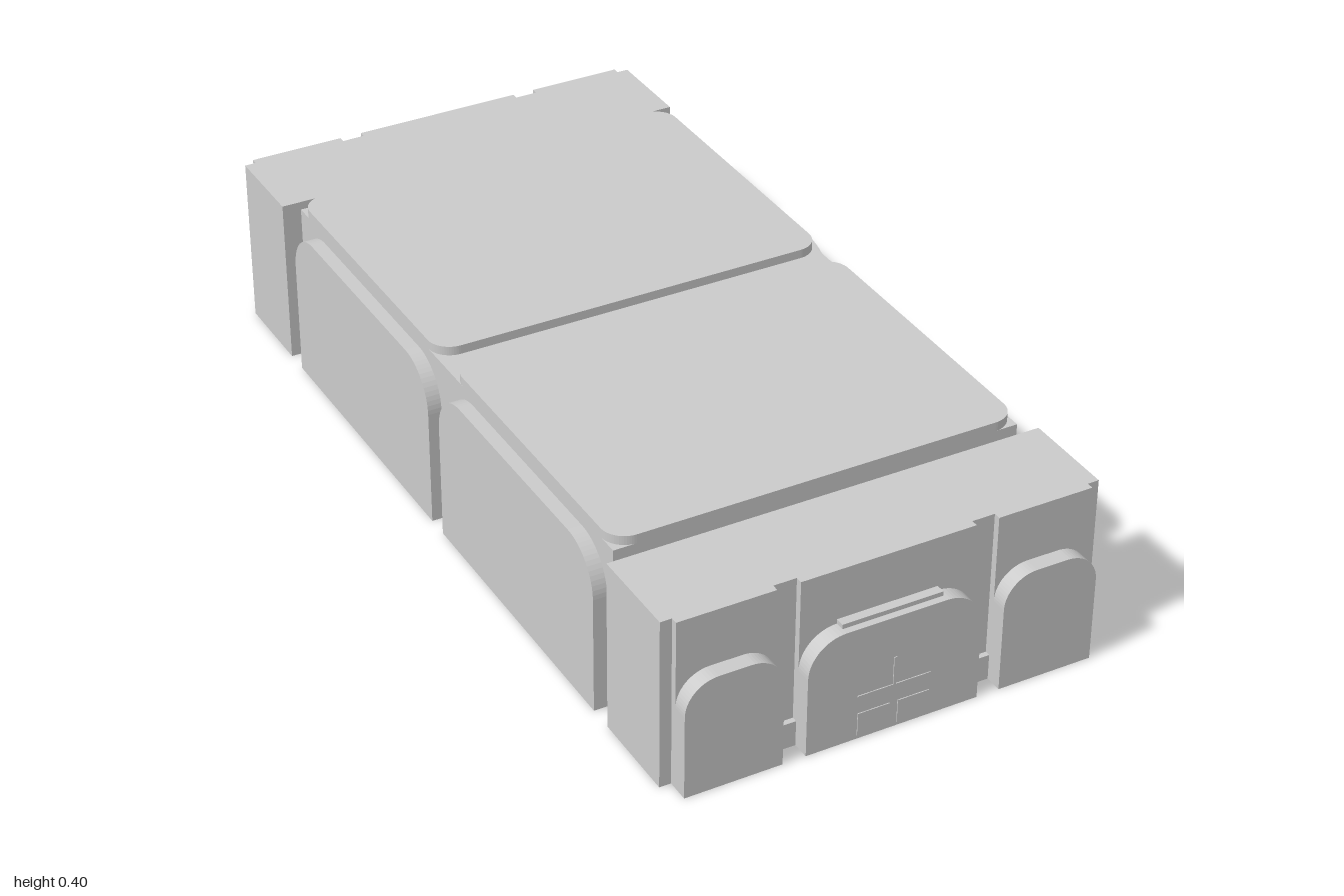
import * as THREE from 'three';

const material = new THREE.MeshStandardMaterial({ color: 0xcccccc, flatShading: true });

function add(parent, name, geometry) {
  const mesh = new THREE.Mesh(geometry, material);
  mesh.name = name;
  parent.add(mesh);
  return mesh;
}

// Box given by its limits on each axis
function box(parent, name, [x0, x1], [y0, y1], [z0, z1]) {
  const mesh = add(parent, name, new THREE.BoxGeometry(x1 - x0, y1 - y0, z1 - z0));
  mesh.position.set((x0 + x1) / 2, (y0 + y1) / 2, (z0 + z1) / 2);
  return mesh;
}

// Outline with rounded top corners; bottom corners take their own radius
function roundedShape(x0, x1, y0, y1, top, bottom = 0) {
  const s = new THREE.Shape();
  s.moveTo(x0 + bottom, y0);
  s.lineTo(x1 - bottom, y0);
  if (bottom) s.absarc(x1 - bottom, y0 + bottom, bottom, -Math.PI / 2, 0, false);
  s.lineTo(x1, y1 - top);
  s.absarc(x1 - top, y1 - top, top, 0, Math.PI / 2, false);
  s.lineTo(x0 + top, y1);
  s.absarc(x0 + top, y1 - top, top, Math.PI / 2, Math.PI, false);
  s.lineTo(x0, y0 + bottom);
  if (bottom) s.absarc(x0 + bottom, y0 + bottom, bottom, Math.PI, Math.PI * 1.5, false);
  return s;
}

function slab(shape, depth) {
  return new THREE.ExtrudeGeometry(shape, { depth, bevelEnabled: false, curveSegments: 8 });
}

// One end of the building, facing +z
function makeEnd(name) {
  const end = new THREE.Group();
  end.name = name;
  box(end, 'endBlock', [-0.475, 0.475], [0, 0.38], [0.745, 0.95]);
  const bays = [[-0.45, -0.24, 0.07], [-0.19, 0.19, 0.08], [0.24, 0.45, 0.07]];
  for (const [x0, x1, r] of bays) {
    box(end, 'upperPanel', [x0, x1], [0, 0.38], [0.945, 0.965]);
    const arch = add(end, 'archPanel', slab(roundedShape(x0, x1, 0, 0.258, r), 0.04));
    arch.position.z = 0.96;
  }
  for (const s of [-1, 1]) {
    const c = s * 0.215;
    box(end, 'plinth', [c - 0.025, c + 0.025], [0, 0.057], [0.945, 0.962]);
  }
  // Ledge over the middle arch
  box(end, 'ledge', [-0.11, 0.11], [0.256, 0.268], [0.96, 0.985]);
  return end;
}

export function createModel() {
  const model = new THREE.Group();
  model.name = 'lowBlock';

  // Central body, with shallow grooves next to the end blocks
  box(model, 'body', [-0.445, 0.445], [0, 0.38], [-0.715, 0.715]);
  for (const s of [-1, 1]) {
    const z = s * 0.73;
    box(model, 'groove', [-0.425, 0.425], [0, 0.355], [z - 0.016, z + 0.016]);
  }

  // Two raised roof pads
  for (const z of [0.03, -0.715]) {
    const pad = add(model, 'roofPad', slab(roundedShape(-0.445, 0.445, -z - 0.685, -z, 0.05, 0.05), 0.025));
    pad.rotation.x = -Math.PI / 2;
    pad.position.y = 0.375;
  }

  // Two arched panels along each side
  for (const side of [-1, 1]) {
    for (const [z0, z1] of [[0.025, 0.69], [-0.69, -0.025]]) {
      const panel = add(model, 'sideArch', slab(roundedShape(z0, z1, 0, 0.36, 0.1), 0.035));
      panel.rotation.y = side * Math.PI / 2;
      panel.position.x = side * 0.44;
    }
  }

  // Louvres between the arches on one side
  for (let i = 0; i < 5; i++) {
    const y = 0.07 + i * 0.022;
    box(model, 'louvre', [0.44, 0.465], [y, y + 0.012], [-0.025, 0.025]);
  }
  // Thin service door on the rear arch
  box(model, 'serviceDoor', [0.47, 0.4765], [0.09, 0.3], [-0.29, -0.2]);

  const front = makeEnd('frontEnd');
  const back = makeEnd('backEnd');
  back.rotation.y = Math.PI;
  model.add(front, back);

  // Shallow relief on the front: doors, sill and centre strip
  for (const s of [-1, 1]) {
    const c = s * 0.044;
    box(front, 'doorLeaf', [c - 0.035, c + 0.035], [0.008, 0.06], [0.99, 1.002]);
  }
  box(front, 'doorSill', [-0.08, 0.08], [0.098, 0.102], [0.99, 1.002]);
  box(front, 'centreStrip', [-0.003, 0.003], [0.1, 0.165], [0.99, 1.002]);

  return model;
}
